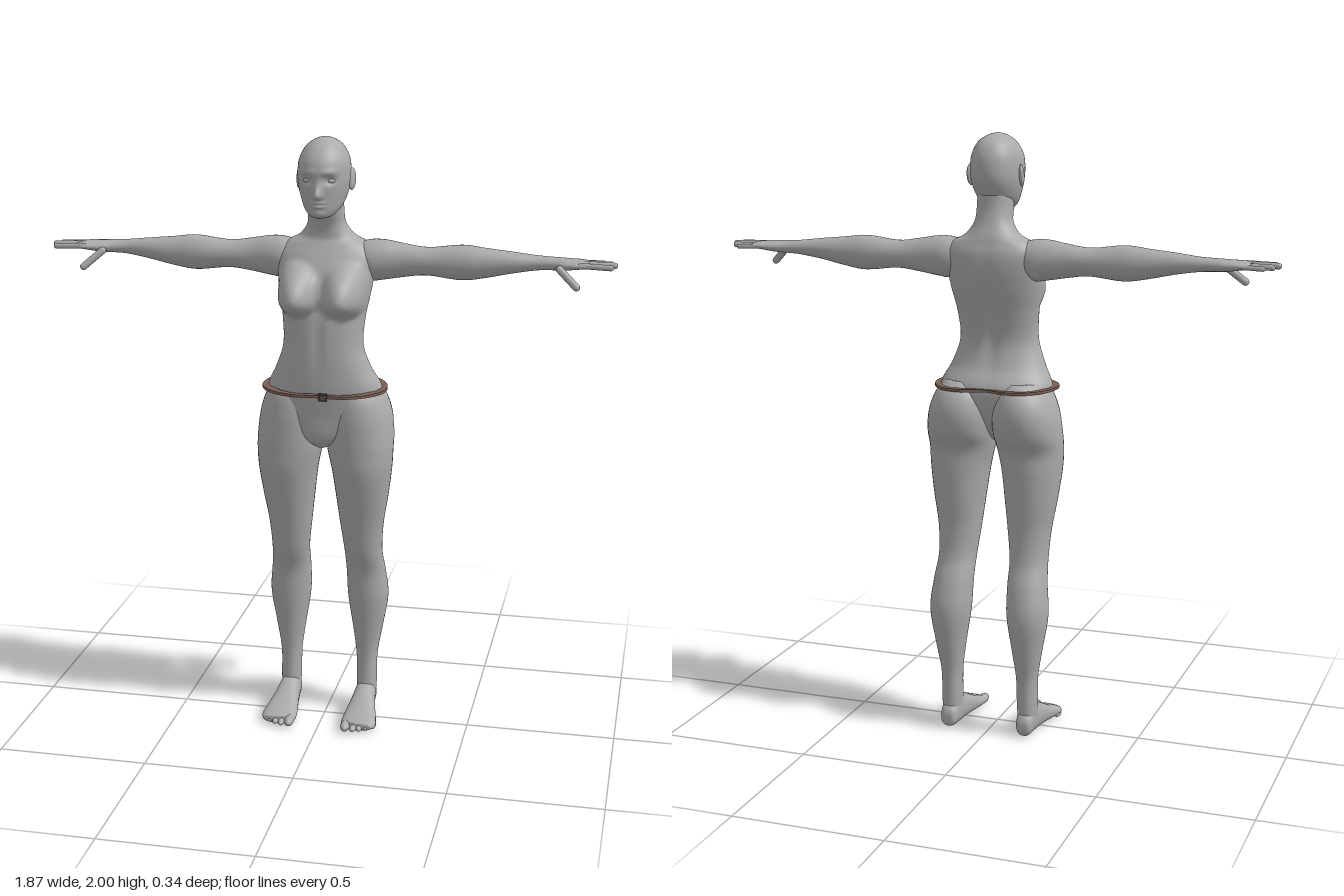
import * as THREE from 'three';

const skin = new THREE.MeshStandardMaterial({ color: 0xababab });
skin.name = 'grey skin';
const leather = new THREE.MeshStandardMaterial({ color: 0x7a6055 });
leather.name = 'brown leather';
const darkMetal = new THREE.MeshStandardMaterial({ color: 0x55463f });
darkMetal.name = 'dark buckle';

// Where section values (a, b) at station t go in space
const alongY = (t, a, b) => [a, t, b];
const alongX = (t, a, b) => [t, b, a];
const alongZ = (t, a, b) => [a, b, t];

function smoothStations(rows, sub) {
  const out = [];
  const at = (i) => rows[Math.max(0, Math.min(rows.length - 1, i))];
  for (let i = 0; i < rows.length - 1; i++) {
    for (let s = 0; s < sub; s++) {
      const u = s / sub;
      out.push(rows[i].map((p1, k) => {
        const p0 = at(i - 1)[k], p2 = at(i + 1)[k], p3 = at(i + 2)[k];
        return p1 + 0.5 * u * (p2 - p0 + u * (2 * p0 - 5 * p1 + 4 * p2 - p3 + u * (3 * (p1 - p2) + p3 - p0)));
      }));
    }
  }
  out.push(rows[rows.length - 1]);
  return out;
}

// Closed loft through rows of [t, aMin, aMax, bMin, bMax]
function loft(rows, place, { n = 32, sub = 5, power = 2, side = 1, deform } = {}) {
  const stations = smoothStations(rows, sub);
  const pos = [], index = [];
  const add = (t, a, b) => {
    const p = place(t, a, b);
    if (deform) deform(p);
    pos.push(p[0] * side, p[1], p[2]);
  };
  const bend = (v) => Math.sign(v) * Math.abs(v) ** (2 / power);
  for (const [t, a0, a1, b0, b1] of stations) {
    for (let i = 0; i < n; i++) {
      const w = (i / n) * Math.PI * 2;
      add(t, (a0 + a1) / 2 + bend(Math.cos(w)) * (a1 - a0) / 2, (b0 + b1) / 2 + bend(Math.sin(w)) * (b1 - b0) / 2);
    }
  }
  const last = stations.length - 1;
  for (const k of [0, last]) {
    const [t, a0, a1, b0, b1] = stations[k];
    add(t, (a0 + a1) / 2, (b0 + b1) / 2);
  }
  const c0 = (last + 1) * n;
  for (let i = 0; i < n; i++) {
    const j = (i + 1) % n;
    for (let k = 0; k < last; k++) {
      const q = k * n, r = q + n;
      index.push(q + i, q + j, r + i, q + j, r + j, r + i);
    }
    index.push(c0, j, i, c0 + 1, last * n + i, last * n + j);
  }
  // Turn all faces outward
  let volume = 0;
  const v = (i) => new THREE.Vector3().fromArray(pos, i * 3);
  for (let i = 0; i < index.length; i += 3) volume += v(index[i]).dot(v(index[i + 1]).cross(v(index[i + 2])));
  if (volume < 0) index.reverse();
  const g = new THREE.BufferGeometry();
  g.setAttribute('position', new THREE.Float32BufferAttribute(pos, 3));
  g.setIndex(index);
  g.computeVertexNormals();
  return g;
}

const bump = (dx, dy) => Math.exp(-dx * dx - dy * dy);

// Breasts, spine groove and belly line
function shapeTorso(p) {
  const [x, y, z] = p;
  if (z > 0.0) {
    const d = Math.hypot((Math.abs(x) - 0.083) / 0.082, (y - 1.495) / (y > 1.495 ? 0.115 : 0.068));
    if (d < 1) p[2] += 0.098 * (1 - d * d) ** 1.1 * Math.min(1, z / 0.04);
    p[2] -= 0.006 * bump(x / 0.015, (y - 1.36) / 0.1);
  } else if (z < -0.03) {
    p[2] += 0.012 * bump(x / 0.022, (y - 1.42) / 0.16);
  }
}

// Nose, eye sockets, lips and chin
function shapeHead(p) {
  const [x, y, z] = p, ax = Math.abs(x);
  if (z < 0.04) return;
  p[2] += 0.03 * bump(x / 0.013, (y - 1.826) / (y > 1.826 ? 0.028 : 0.01));
  p[2] -= 0.014 * bump((ax - 0.036) / 0.02, (y - 1.874) / 0.014);
  p[2] += 0.005 * bump((ax - 0.035) / 0.03, (y - 1.9) / 0.009);
  p[2] += 0.008 * bump(x / 0.02, (y - 1.804) / 0.005) + 0.008 * bump(x / 0.018, (y - 1.791) / 0.005);
  p[2] += 0.005 * bump(x / 0.02, (y - 1.768) / 0.01);
}

const torsoRows = [
  [0.985, 0.02, 0.0, 0.06], [1.02, 0.08, -0.06, 0.09], [1.1, 0.18, -0.11, 0.098], [1.18, 0.19, -0.125, 0.107],
  [1.25, 0.158, -0.087, 0.11], [1.33, 0.132, -0.07, 0.11], [1.42, 0.136, -0.09, 0.105], [1.5, 0.15, -0.115, 0.09],
  [1.57, 0.16, -0.13, 0.075], [1.62, 0.162, -0.13, 0.05], [1.655, 0.135, -0.12, 0.03], [1.68, 0.09, -0.112, 0.02],
  [1.72, 0.062, -0.096, 0.025], [1.77, 0.058, -0.085, 0.045], [1.84, 0.055, -0.085, 0.04],
].map(([y, w, b, f]) => [y, -w, w, b, f]);

const headRows = [
  [1.75, 0.012, 0.03, 0.08], [1.757, 0.036, 0.0, 0.098], [1.775, 0.055, -0.045, 0.104], [1.8, 0.068, -0.08, 0.106],
  [1.84, 0.08, -0.104, 0.11], [1.88, 0.084, -0.112, 0.115], [1.93, 0.08, -0.106, 0.107], [1.97, 0.06, -0.083, 0.076],
  [1.992, 0.031, -0.045, 0.04], [2.0, 0.004, -0.006, 0.006],
].map(([y, w, b, f]) => [y, -w, w, b, f]);

const legRows = [
  [1.2, 0.04, 0.16, -0.11, 0.07], [1.16, 0.018, 0.195, -0.15, 0.092], [1.1, 0.003, 0.218, -0.166, 0.1],
  [1.03, 0.002, 0.228, -0.152, 0.1], [0.97, 0.01, 0.229, -0.118, 0.098], [0.9, 0.025, 0.225, -0.114, 0.093],
  [0.8, 0.038, 0.212, -0.108, 0.07], [0.7, 0.05, 0.196, -0.1, 0.045], [0.6, 0.062, 0.19, -0.108, 0.022],
  [0.52, 0.064, 0.197, -0.138, -0.005], [0.42, 0.067, 0.205, -0.16, -0.014], [0.3, 0.085, 0.186, -0.145, -0.03],
  [0.2, 0.098, 0.17, -0.125, -0.04], [0.1, 0.1, 0.169, -0.12, -0.038], [0.04, 0.105, 0.165, -0.118, -0.03],
];

const armRows = [
  [0.08, -0.09, 0.0, 1.57, 1.65], [0.14, -0.105, 0.015, 1.535, 1.667], [0.19, -0.102, 0.01, 1.538, 1.668],
  [0.25, -0.096, 0.0, 1.548, 1.658], [0.33, -0.095, 0.0, 1.557, 1.648], [0.44, -0.097, 0.003, 1.546, 1.66],
  [0.52, -0.091, -0.003, 1.557, 1.652], [0.6, -0.085, -0.01, 1.574, 1.644], [0.68, -0.081, -0.022, 1.587, 1.635],
  [0.73, -0.083, -0.018, 1.59, 1.632], [0.77, -0.091, -0.004, 1.592, 1.63], [0.82, -0.097, 0.004, 1.599, 1.627],
  [0.848, -0.092, 0.0, 1.604, 1.622],
];

const footRows = [
  [-0.132, 0.12, 0.15, 0.02, 0.05], [-0.12, 0.108, 0.162, 0.004, 0.075], [-0.07, 0.1, 0.168, 0, 0.11],
  [0.0, 0.092, 0.178, 0, 0.085], [0.06, 0.083, 0.192, 0, 0.056], [0.105, 0.08, 0.198, 0, 0.04],
  [0.13, 0.088, 0.185, 0.005, 0.03],
];

// Root, tip and radius of each digit on the left hand
const digits = {
  thumb: [[0.755, 1.602, -0.005], [0.812, 1.552, 0.025], 0.012],
  indexFinger: [[0.82, 1.615, -0.008], [0.915, 1.612, -0.005], 0.0095],
  middleFinger: [[0.82, 1.616, -0.035], [0.926, 1.614, -0.037], 0.01],
  ringFinger: [[0.82, 1.614, -0.062], [0.912, 1.612, -0.068], 0.0095],
  littleFinger: [[0.81, 1.612, -0.086], [0.888, 1.61, -0.095], 0.008],
};

export function createModel() {
  const model = new THREE.Group();
  const add = (name, geometry, material = skin) => {
    const mesh = new THREE.Mesh(geometry, material);
    mesh.name = name;
    model.add(mesh);
    return mesh;
  };
  const ball = (name, x, y, z, rx, ry, rz) => {
    const mesh = add(name, new THREE.SphereGeometry(1, 20, 14));
    mesh.position.set(x, y, z);
    mesh.scale.set(rx, ry, rz);
    return mesh;
  };

  add('torsoAndNeck', loft(torsoRows, alongY, { n: 72, sub: 7, power: 2.2, deform: shapeTorso }));
  add('head', loft(headRows, alongY, { n: 128, sub: 9, power: 2.1, deform: shapeHead }));

  for (const side of [1, -1]) {
    const tag = side > 0 ? 'left' : 'right';
    add(tag + 'Leg', loft(legRows, alongY, { n: 40, side, power: 2.1 }));
    add(tag + 'Arm', loft(armRows, alongX, { n: 32, side }));
    add(tag + 'Foot', loft(footRows, alongZ, { n: 32, side, power: 2.3 }));

    // Fingers
    for (const [name, [from, to, r]] of Object.entries(digits)) {
      const a = new THREE.Vector3(...from), b = new THREE.Vector3(...to);
      a.x *= side;
      b.x *= side;
      const dir = b.clone().sub(a);
      const finger = add(tag + '_' + name, new THREE.CapsuleGeometry(r, dir.length(), 5, 12));
      finger.position.copy(a).add(b).multiplyScalar(0.5);
      finger.quaternion.setFromUnitVectors(new THREE.Vector3(0, 1, 0), dir.normalize());
    }
    // Toes, from the big one outward
    for (let i = 0; i < 5; i++) {
      const r = i === 0 ? 0.016 : 0.0125 - i * 0.0006;
      const x = i === 0 ? 0.098 : 0.104 + i * 0.021;
      ball(tag + 'Toe' + (i + 1), side * x, r + 0.002, 0.128 - i * i * 0.0022, r, r, 0.032 - i * 0.002);
    }
    // Face details
    ball(tag + 'Ear', side * 0.086, 1.866, -0.014, 0.009, 0.036, 0.02).rotation.set(-0.2, side * -0.35, 0);
    ball(tag + 'Eye', side * 0.035, 1.872, 0.084, 0.017, 0.0095, 0.012);
  }

  // Flat belt ring, wider at the hips and dipping in at the back
  const half = [[0.08, 0.138], [0.16, 0.1], [0.204, 0.03], [0.198, -0.06], [0.15, -0.132], [0.08, -0.154]];
  const outline = [[0, 0.135], ...half, [0, -0.13], ...half.map(([x, z]) => [-x, z]).reverse()];
  const curve = (k) => new THREE.CatmullRomCurve3(
    outline.map(([x, z]) => new THREE.Vector3(x * k, -z * k, 0)), true,
  ).getPoints(96).slice(0, -1).map((p) => new THREE.Vector2(p.x, p.y));
  const band = new THREE.Shape(curve(1));
  band.holes.push(new THREE.Path(curve(0.85)));
  const belt = add('belt', new THREE.ExtrudeGeometry(band, { depth: 0.009, bevelEnabled: false }), leather);
  belt.rotation.x = -Math.PI / 2;
  belt.position.y = 1.175;

  // Square buckle frame
  const frame = new THREE.Shape([[-1, -1], [1, -1], [1, 1], [-1, 1]].map(([x, y]) => new THREE.Vector2(x * 0.014, y * 0.013)));
  frame.holes.push(new THREE.Path([[-1, -1], [-1, 1], [1, 1], [1, -1]].map(([x, y]) => new THREE.Vector2(x * 0.009, y * 0.008))));
  add('buckle', new THREE.ExtrudeGeometry(frame, { depth: 0.008, bevelEnabled: false }), darkMetal).position.set(0.022, 1.179, 0.132);

  return model;
}
